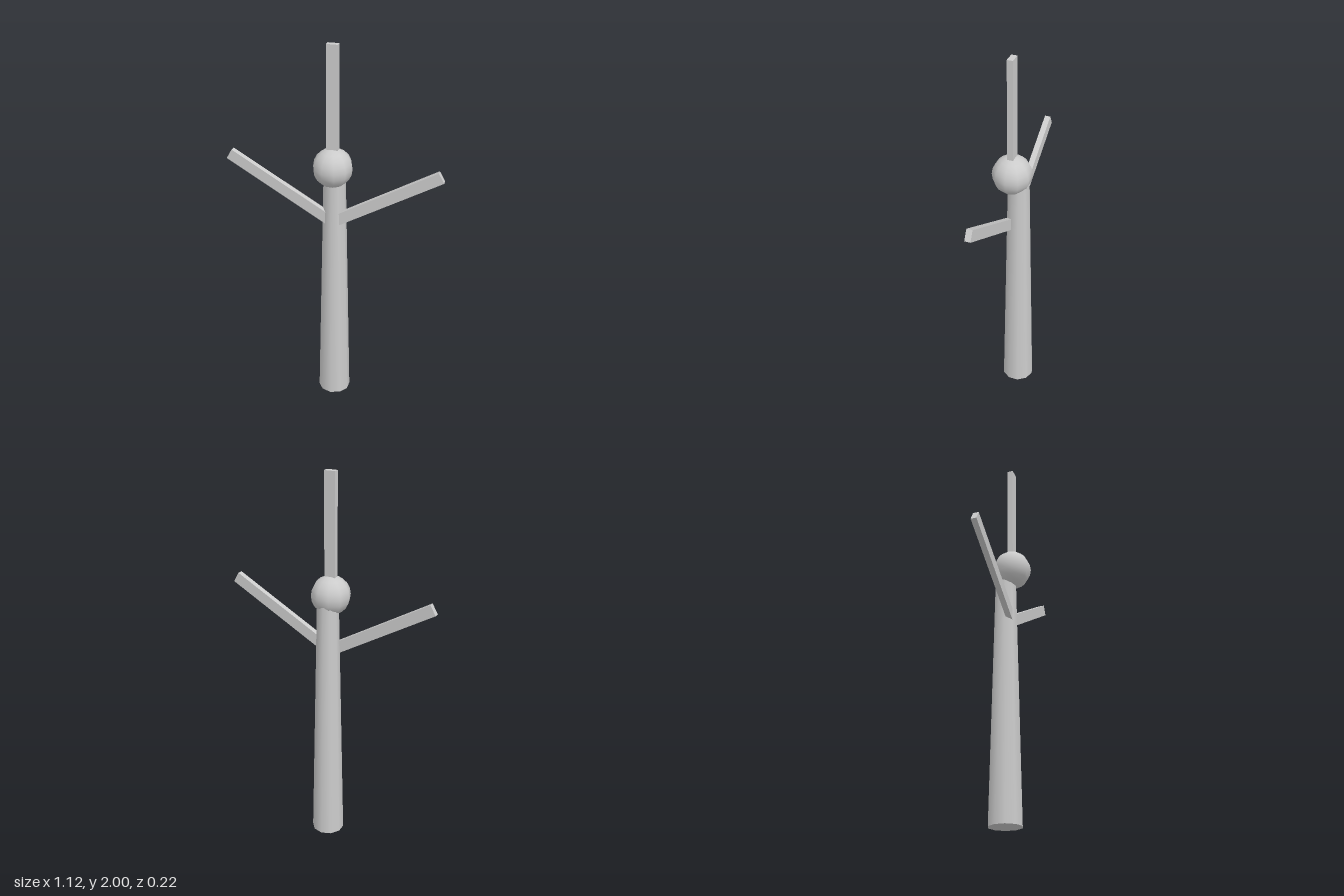
import * as THREE from 'three';

export function createModel() {
  const model = new THREE.Group();
  model.name = 'windTurbine';
  const material = new THREE.MeshStandardMaterial({ color: 0xcccccc });

  function add(name, geometry, x, y, z) {
    const mesh = new THREE.Mesh(geometry, material);
    mesh.name = name;
    mesh.position.set(x, y, z);
    model.add(mesh);
    return mesh;
  }

  // Tapered tower, set slightly behind the rotor
  const towerHeight = 1.335;
  add('tower', new THREE.CylinderGeometry(0.056, 0.086, towerHeight, 10), 0, towerHeight / 2, -0.022);

  // Round hub
  const rotorZ = 0.012;
  add('hub', new THREE.SphereGeometry(0.102, 10, 10), 0, 1.375, rotorZ);

  // Upright blade, rooted in the hub
  const bladeLength = 0.63;
  const blade = new THREE.BoxGeometry(0.058, bladeLength, 0.03);
  add('upperBlade', blade, 0, 2 - bladeLength / 2, rotorZ);

  // Mirrored side blades, rising outward from inside the tower
  for (const [name, side] of [['leftBlade', 1], ['rightBlade', -1]]) {
    const mesh = add(name, blade, side * 0.274, 1.232, rotorZ);
    mesh.rotation.z = -side * Math.PI / 3;
  }

  return model;
}
